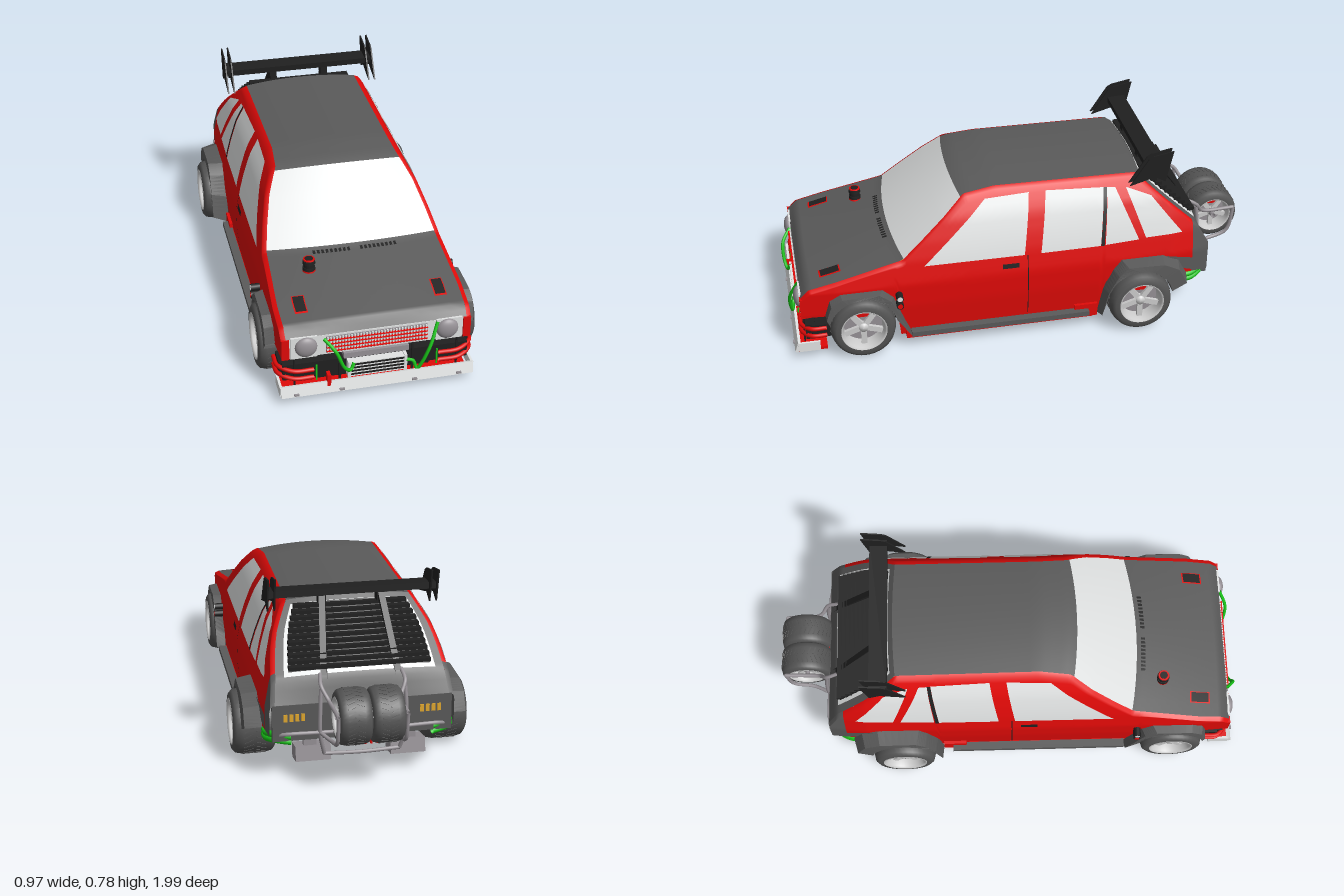
import * as THREE from 'three';

const mat = (name, color) => new THREE.MeshStandardMaterial({ name, color, side: THREE.DoubleSide });

// Tables of [position, value...] read by linear interpolation
function look(table, p, k = 1) {
  if (p <= table[0][0]) return table[0][k];
  for (let i = 1; i < table.length; i++) {
    const a = table[i - 1], b = table[i];
    if (p <= b[0]) return a[k] + (b[k] - a[k]) * (p - a[0]) / (b[0] - a[0]);
  }
  return table[table.length - 1][k];
}
// body outline along z: [z, edge height, crown, forward bow]
const OUTLINE = [[-0.785, 0.32, 0, 0], [-0.74, 0.405, 0.012, -0.01], [-0.48, 0.638, 0.014, -0.01], [0.12, 0.642, 0.015, 0.01],
  [0.25, 0.625, 0.015, 0.02], [0.52, 0.395, 0.012, 0.035], [0.91, 0.305, 0.008, 0.008], [0.945, 0.27, 0.003, 0]];
// half width of the body by height
const WIDTH = [[0.04, 0.372], [0.2, 0.385], [0.3, 0.385], [0.4, 0.366], [0.47, 0.346], [0.55, 0.318], [0.6, 0.29], [0.645, 0.262]];
const TAPER = [[-0.785, 0.95], [-0.62, 1], [0.8, 1], [0.945, 0.975]];
const ROLL = 0.018;
// wheel arches with the outer flare outline as [z, y] from front to back
const WHEELS = [
  { z: 0.7, x: 0.37, w: 0.07, out: 0.425, name: 'front',
    flare: [[0.85, 0.2], [0.83, 0.265], [0.785, 0.292], [0.61, 0.292], [0.565, 0.25], [0.525, 0.13], [0.49, 0.05]] },
  { z: -0.47, x: 0.395, w: 0.085, out: 0.452, name: 'rear',
    flare: [[-0.3, 0.05], [-0.325, 0.17], [-0.365, 0.26], [-0.4, 0.305], [-0.58, 0.305], [-0.65, 0.275], [-0.69, 0.2]] }];
const top = z => look(OUTLINE, z);
const halfWidth = (y, z) => look(WIDTH, y) * look(TAPER, z);

function bottom(z) {
  let y = z > 0.7 ? 0.19 : z > -0.47 ? 0.05 : 0.2;
  for (const c of WHEELS) {
    const d = Math.abs(z - c.z);
    if (d < 0.15) y = Math.max(y, 0.135 + Math.sqrt(0.0225 - d * d));
  }
  return Math.min(y, top(z) - 0.01);
}

// Surface from a rule fn(u, v) -> [x, y, z]
function grid(nu, nv, fn) {
  const pos = [], idx = [];
  for (let i = 0; i <= nu; i++) for (let j = 0; j <= nv; j++) pos.push(...fn(i / nu, j / nv));
  for (let i = 0; i < nu; i++) for (let j = 0; j < nv; j++) {
    const a = i * (nv + 1) + j, b = a + nv + 1;
    idx.push(a, b, a + 1, b, b + 1, a + 1);
  }
  const g = new THREE.BufferGeometry();
  g.setAttribute('position', new THREE.Float32BufferAttribute(pos, 3));
  g.setIndex(idx);
  g.computeVertexNormals();
  return g;
}

export function createModel() {
  const car = new THREE.Group();
  car.name = 'rallyHatchback';
  const red = mat('red paint', 0xe00a08), grey = mat('dark grey panel', 0x5a5a5a), black = mat('black trim', 0x202020),
    light = mat('pale glass and white', 0xe2e4e4), silver = mat('bright wheel metal', 0xcecece), lamp = mat('mid grey metal', 0x969196),
    rubber = mat('tyre rubber', 0x545454), green = mat('green hose', 0x18c418), orange = mat('orange floor and markings', 0xe0a830);
  const add = (name, geo, m, parent = car) => {
    const o = new THREE.Mesh(geo, m);
    o.name = name;
    parent.add(o);
    return o;
  };
  const box = (name, m, sx, sy, sz, x, y, z, parent = car) => {
    const o = add(name, new THREE.BoxGeometry(sx, sy, sz), m, parent);
    o.position.set(x, y, z);
    return o;
  };
  const tube = (name, m, r, pts) => add(name, new THREE.TubeGeometry(
    new THREE.CatmullRomCurve3(pts.map(p => new THREE.Vector3(...p)), false, 'centripetal'), 32, r, 8), m);

  // Top skin: bonnet, windscreen, roof and tailgate share one rule
  const skinPoint = (u, z, lift = 0) => {
    const y = top(z), c = 1 - u * u;
    return [u * (halfWidth(y, z) - ROLL), y + 0.008 + look(OUTLINE, z, 2) * c + lift, z + look(OUTLINE, z, 3) * c];
  };
  const skin = (name, m, z0, z1, u0 = -1, u1 = 1, lift = 0) => add(name,
    grid(24, 12, (a, b) => skinPoint(u0 + (u1 - u0) * b, z0 + (z1 - z0) * a, lift)), m);
  skin('bonnet', grey, 0.945, 0.515);
  skin('windscreen', light, 0.515, 0.262);
  skin('roof', grey, 0.262, -0.48);
  skin('tailgate', grey, -0.48, -0.785);
  skin('rearGlass', light, -0.5, -0.735, -0.9, 0.9, 0.004);
  skin('rearGlassShade', black, -0.505, -0.725, -0.85, 0.85, 0.009);
  for (let i = 0; i < 11; i++) {
    const z = -0.515 - i * 0.02, p = skinPoint(0.85, z);
    box('rearLouvre', black, p[0] * 2, 0.014, 0.028, 0, p[1] + 0.016, z - 0.01);
  }
  for (let i = 0; i < 20; i++) {
    const u = (i - 9.5) / 20;
    if (Math.abs(u) > 0.06) skin('cowlVent', black, 0.535, 0.555, u - 0.015, u + 0.015, 0.003);
  }

  for (const s of [1, -1]) {
    const side = s > 0 ? 'left' : 'right';
    // Side panels, with the last row rolled over to meet the top skin
    const panel = (name, m, z0, z1, cols) => add(name, grid(cols, 25, (a, b) => {
      const z = z0 + (z1 - z0) * a, lo = bottom(z), hi = top(z);
      if (b === 1) return [s * (halfWidth(hi, z) - ROLL), hi + 0.008, z];
      const y = lo + (hi - lo) * Math.min(1, b * 25 / 24);
      return [s * halfWidth(y, z), y, z];
    }), m);
    panel(side + 'BodySide', red, 0.945, -0.715, 140);
    panel(side + 'RearCorner', grey, -0.715, -0.785, 8);

    // Side windows, corners as [z, y]: lower front, lower rear, upper rear, upper front
    const pane = (name, m, q, off = 0.005) => add(name, grid(8, 8, (a, b) => {
      const mix = k => (q[0][k] * (1 - a) + q[1][k] * a) * (1 - b) + (q[3][k] * (1 - a) + q[2][k] * a) * b;
      return [s * (halfWidth(mix(1), mix(0)) + off), mix(1), mix(0)];
    }), m);
    for (const off of [0.005, -0.005]) {
      pane('frontDoorWindow', light, [[0.435, 0.378], [0.015, 0.378], [-0.02, 0.622], [0.165, 0.615]], off);
      pane('rearDoorWindow', light, [[-0.055, 0.378], [-0.31, 0.38], [-0.335, 0.612], [-0.09, 0.622]], off);
      pane('rearDoorVent', light, [[-0.33, 0.382], [-0.475, 0.39], [-0.385, 0.608], [-0.35, 0.61]], off);
      pane('quarterWindow', light, [[-0.505, 0.395], [-0.665, 0.4], [-0.535, 0.565], [-0.43, 0.605]], off);
    }
    pane('windowDivider', black, [[-0.31, 0.38], [-0.325, 0.38], [-0.35, 0.612], [-0.335, 0.612]], 0.007);
    pane('doorHandle', black, [[0.11, 0.328], [0.04, 0.328], [0.04, 0.348], [0.11, 0.348]], 0.008);
    pane('doorGap', black, [[0.003, 0.09], [0, 0.09], [0, 0.375], [0.003, 0.375]], 0.002);
    pane('rearCornerStrip', grey, [[-0.6, 0.25], [-0.72, 0.21], [-0.72, 0.27], [-0.6, 0.3]], 0.004);

    // Wheel arch flares: outer outline, shoulder, lip, lining and inner wall
    for (const c of WHEELS) {
      const rows = [[0.38, 0, 0], [c.out - 0.004, 0.22, 0.145], [c.out, 1, 0.142], [0.27, 1, 0.142], [0.27, 1, 0.09]];
      const geo = grid(36, 4, (a, b) => {
        const f = a * 6, i = Math.min(5, Math.floor(f)), ang = 0.25 + a * 2.7;
        const [x, t, r] = rows[Math.round(b * 4)];
        const arch = [c.z + Math.cos(ang) * r, 0.135 + Math.sin(ang) * r];
        const [z, y] = [0, 1].map(n => {
          const e = c.flare[i][n] + (c.flare[i + 1][n] - c.flare[i][n]) * (f - i);
          return e + (arch[n] - e) * t;
        });
        return [s * x, y, z];
      }).toNonIndexed();
      geo.computeVertexNormals();
      add(c.name + 'WheelArch', geo, grey);
      const w = wheel(c.w, 1, s);
      w.name = side + c.name + 'Wheel';
      w.position.set(s * c.x, 0.135, c.z);
      car.add(w);
    }

    // Sills and side exhausts
    box('sill', red, 0.05, 0.035, 0.8, s * 0.365, 0.055, 0.12);
    box('sideSkirt', grey, 0.035, 0.022, 0.76, s * 0.395, 0.068, 0.12);
    box('rearSillEnd', red, 0.04, 0.06, 0.1, s * 0.37, 0.07, -0.25);
    for (const [y, m] of [[0.225, red], [0.26, light]]) {
      for (const [r, len, mt] of [[0.015, 0.045, black], [0.011, 0.048, m]]) {
        const p = add('sideOutlet', new THREE.CylinderGeometry(r, r, len, 16), mt);
        p.rotation.z = Math.PI / 2;
        p.position.set(s * 0.4, y, 0.545);
      }
    }

    // Bonnet vents
    const u = [s * 0.7, s * 0.84];
    skin('bonnetVentRim', red, 0.765, 0.855, u[0], u[1], 0.003);
    skin('bonnetVent', black, 0.771, 0.849, u[0] + s * 0.012, u[1] - s * 0.012, 0.006);

    // Nose corner, headlamp and front red pipes
    box('noseCorner', red, 0.03, 0.09, 0.03, s * 0.36, 0.232, 0.935);
    box('headlampHousing', light, 0.105, 0.095, 0.02, s * 0.288, 0.235, 0.94);
    const l = add('headlamp', new THREE.SphereGeometry(0.044, 24, 16), lamp);
    l.scale.z = 0.5;
    l.position.set(s * 0.28, 0.238, 0.95);
    for (const y of [0.095, 0.13])
      tube('frontPipe', red, 0.009, [[s * 0.25, y - 0.004, 0.95], [s * 0.33, y, 0.95], [s * 0.385, y + 0.008, 0.91], [s * 0.39, y + 0.01, 0.85]]);
    box('barReturn', black, 0.02, 0.06, 0.08, s * 0.37, 0.12, 0.87);
    box('greenStrap', green, 0.006, 0.07, 0.006, s * 0.24, 0.115, 0.955);
    box('bumperReturn', light, 0.01, 0.042, 0.09, s * 0.383, 0.052, 0.925);
    for (const x of [0.145, 0.325]) {
      box('bumperStay', black, 0.007, 0.14, 0.007, s * x, 0.11, 0.94);
      box('bumperBolt', lamp, 0.02, 0.007, 0.02, s * x, 0.041, 0.98);
    }

    // Wing end plates and struts
    const plate = new THREE.Shape([[0.435, 0.635], [0.51, 0.75], [0.53, 0.762], [0.615, 0.778], [0.585, 0.64], [0.54, 0.665]].map(p => new THREE.Vector2(...p)));
    for (const x of [0.31, 0.337]) {
      const e = add('wingEndPlate', new THREE.ExtrudeGeometry(plate, { depth: 0.006, bevelEnabled: false }), black);
      e.rotation.y = Math.PI / 2;
      e.position.x = s * x - 0.003;
    }
    const strut = (a, x, drop) => [s * (x + a * 0.03), 0.695 - a * 0.27 - drop * (1 - a * 0.5), -0.55 - a * 0.2 - drop * 0.4];
    for (const x of [0.105, 0.13]) add('wingStrut', grid(3, 1, (a, b) => strut(a, x, b * 0.035)), black);
    add('wingStrutCover', grid(3, 1, (a, b) => strut(a, 0.105 + b * 0.025, 0)), black);
    box('wingStrutFoot', black, 0.03, 0.05, 0.04, s * 0.117, 0.672, -0.54);

    // Rear carrier tubes, hoses, marks and diffuser plates
    tube('carrierHoop', lamp, 0.008, [[s * 0.16, 0.43, -0.74], [s * 0.165, 0.4, -0.79], [s * 0.14, 0.35, -0.83], [s * 0.133, 0.345, -0.975]]);
    tube('carrierUpright', lamp, 0.008, [[s * 0.165, 0.39, -0.79], [s * 0.17, 0.3, -0.8], [s * 0.17, 0.2, -0.8], [s * 0.15, 0.11, -0.78]]);
    tube('carrierArm', lamp, 0.008, [[s * 0.17, 0.21, -0.8], [s * 0.136, 0.2, -0.87], [s * 0.133, 0.23, -0.95], [s * 0.133, 0.345, -0.975]]);
    tube('rearBarEnd', lamp, 0.008, [[s * 0.17, 0.21, -0.8], [s * 0.3, 0.21, -0.795], [s * 0.35, 0.19, -0.76]]);
    for (const d of [0, 0.022])
      tube('greenHose', green, 0.013, [[s * 0.28, 0.17 + d, -0.78], [s * 0.33, 0.175 + d, -0.765], [s * 0.37, 0.165 + d, -0.7], [s * 0.36, 0.175 + d, -0.63]]);
    for (let i = 0; i < 4; i++) box('rearMarking', orange, 0.015, 0.03, 0.004, s * (0.235 + i * 0.023), 0.275, -0.789);
    box('diffuserStay', lamp, 0.05, 0.09, 0.03, s * 0.2, 0.155, -0.725);
    box('diffuserPlate', lamp, 0.14, 0.06, 0.09, s * 0.19, 0.095, -0.715).rotation.x = 0.2;
  }

  // Nose panel and grille
  box('nosePanel', light, 0.69, 0.09, 0.02, 0, 0.232, 0.933);
  box('grilleBack', lamp, 0.4, 0.075, 0.006, 0, 0.232, 0.944);
  for (let i = 0; i < 34; i++) box('grilleBar', light, 0.006, 0.073, 0.008, (i - 16.5) * 0.0118, 0.232, 0.948);
  for (let i = 0; i < 4; i++) box('grilleFin', red, 0.4, 0.0012, 0.016, 0, 0.207 + i * 0.017, 0.951);

  // Cooler, front bar, bumper blade and splitter
  box('frontBar', black, 0.74, 0.07, 0.04, 0, 0.115, 0.915);
  box('coolerCore', black, 0.22, 0.06, 0.03, 0, 0.112, 0.95);
  for (let i = 0; i < 5; i++) box('coolerFin', light, 0.23, 0.004, 0.034, 0, 0.083 + i * 0.015, 0.95);
  box('coolerTop', lamp, 0.26, 0.024, 0.04, 0, 0.166, 0.925);
  for (const s of [1, -1]) box('coolerTank', light, 0.012, 0.075, 0.036, s * 0.112, 0.112, 0.95);
  box('bumperBlade', light, 0.77, 0.046, 0.012, 0, 0.052, 0.973).rotation.x = -0.3;
  box('splitter', red, 0.74, 0.012, 0.12, 0, 0.026, 0.91);
  for (const s of [1, -1]) box('splitterSkid', red, 0.14, 0.012, 0.1, s * 0.23, 0.016, 0.9);
  box('towHook', red, 0.014, 0.05, 0.03, -0.195, 0.085, 0.965);
  tube('greenHoseLeft', green, 0.007, [[0.24, 0.275, 0.95], [0.2, 0.18, 0.985], [0.155, 0.085, 0.975], [0.14, 0.12, 0.97], [0.115, 0.125, 0.965]]);
  tube('greenHoseRight', green, 0.007, [[-0.21, 0.265, 0.95], [-0.17, 0.22, 0.985], [-0.135, 0.14, 0.985], [-0.11, 0.12, 0.975], [-0.095, 0.145, 0.965]]);

  // Undertray and floor
  box('frontUndertray', black, 0.46, 0.01, 0.4, 0, 0.04, 0.69);
  box('floor', orange, 0.69, 0.012, 0.79, 0, 0.046, 0.115);
  box('floorFrontEdge', red, 0.72, 0.02, 0.02, 0, 0.05, 0.515);
  box('floorRearEdge', grey, 0.72, 0.02, 0.02, 0, 0.05, -0.285);

  // Bonnet stack
  const stack = [[0.026, 0.006, red, 0.388], [0.022, 0.05, black, 0.41], [0.026, 0.012, black, 0.398], [0.026, 0.012, black, 0.426],
    [0.024, 0.004, red, 0.438], [0.017, 0.006, black, 0.439]];
  for (const [r, h, m, y] of stack) add('bonnetStack', new THREE.CylinderGeometry(r * 0.95, r, h, 16), m).position.set(-0.205, y, 0.655);

  // Rear panel, wing and spare wheels
  box('rearPanel', grey, 0.71, 0.15, 0.02, 0, 0.253, -0.777);
  box('rearRedStrip', red, 0.14, 0.008, 0.006, 0, 0.315, -0.788);
  for (let i = 0; i < 6; i++) box('rearVentFin', red, 0.008, 0.05, 0.02, (i - 2.5) * 0.025, 0.16, -0.77);
  tube('rearBar', lamp, 0.008, [[-0.17, 0.21, -0.8], [0, 0.21, -0.805], [0.17, 0.21, -0.8]]);
  tube('rearLowBar', lamp, 0.008, [[-0.15, 0.11, -0.78], [0, 0.11, -0.79], [0.15, 0.11, -0.78]]);
  tube('spareAxle', lamp, 0.01, [[-0.13, 0.31, -0.885], [0, 0.31, -0.885], [0.13, 0.31, -0.885]]);
  box('wing', black, 0.67, 0.026, 0.075, 0, 0.702, -0.545).rotation.x = 0.06;
  for (const s of [1, -1]) {
    const w = wheel(0.062, 0.82, s);
    w.name = 'spareWheel';
    w.position.set(s * 0.064, 0.31, -0.887);
    car.add(w);
  }

  // Wheel of half width w, outer face towards s
  function wheel(w, k, s) {
    const g = new THREE.Group();
    const lathe = (name, pts, m) => add(name, new THREE.LatheGeometry(pts.map(p => new THREE.Vector2(p[0] * k, p[1])), 40), m, g);
    lathe('tyre', [[0.093, -w], [0.114, -w], [0.128, -w * 0.86], [0.134, -w * 0.55], [0.134, w * 0.55], [0.128, w * 0.86], [0.114, w], [0.093, w]], rubber);
    lathe('rim', [[0.097, w - 0.002], [0.093, w + 0.003], [0.087, w - 0.006], [0.08, w - 0.04], [0.08, -w + 0.01], [0.095, -w]], silver);
    lathe('brakeDisc', [[0.002, w - 0.062], [0.08, w - 0.062]], lamp);
    lathe('innerCover', [[0.002, -w + 0.03], [0.08, -w + 0.03]], black);
    lathe('hub', [[0.001, w - 0.02], [0.018, w - 0.022], [0.024, w - 0.045]], silver);
    box('caliper', red, 0.02 * k, 0.02, 0.06 * k, -0.055 * k, w - 0.05, 0, g);
    for (let i = 0; i < 5; i++) {
      const arm = new THREE.Group();
      arm.rotation.y = i * Math.PI * 0.4;
      box('spoke', silver, 0.07 * k, 0.014, 0.024 * k, 0.05 * k, w - 0.036, 0, arm);
      g.add(arm);
    }
    for (let i = 0; i < 64; i++) {
      const arm = new THREE.Group(), e = i % 2 ? 1 : -1;
      arm.rotation.y = i * Math.PI / 32;
      box('treadBlock', rubber, 0.003, w * 0.5, 0.006, 0.134 * k, e * w * 0.29, 0, arm).rotation.x = e * 0.4;
      g.add(arm);
    }
    g.rotation.z = -s * Math.PI / 2;
    return g;
  }
  return car;
}
